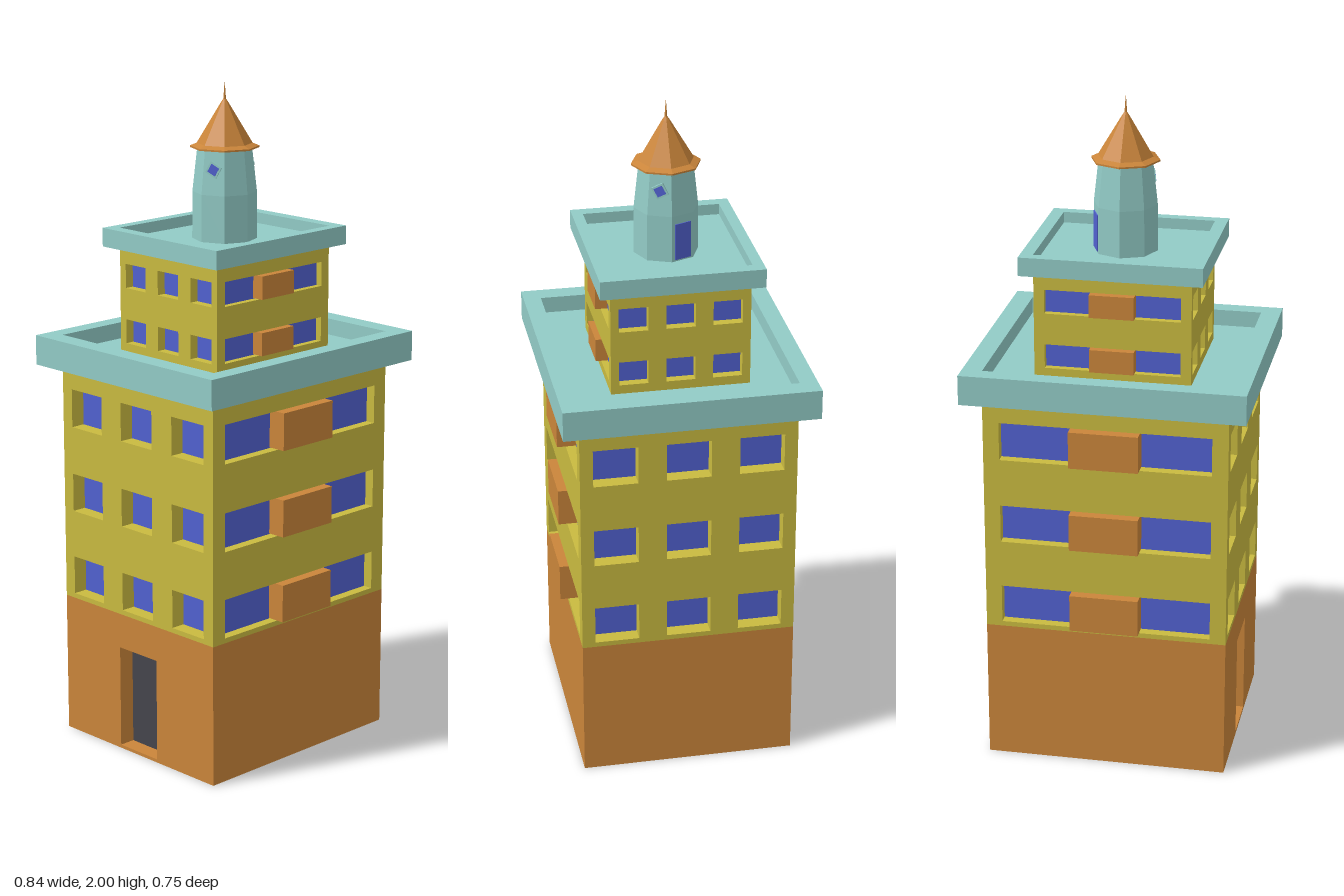
import * as THREE from 'three';

const paint = (name, color) => {
  const m = new THREE.MeshStandardMaterial({ color, side: THREE.DoubleSide });
  m.name = name;
  return m;
};
const teal = paint('pale teal', 0x92cbc6);
const yellow = paint('mustard wall', 0xc9ba40);
const orange = paint('terracotta', 0xca853a);
const blue = paint('window blue', 0x5161d0);
const dark = paint('door grey', 0x45454c);

function add(parent, name, geometry, material, x = 0, y = 0, z = 0) {
  const mesh = new THREE.Mesh(geometry, material);
  mesh.name = name;
  mesh.position.set(x, y, z);
  parent.add(mesh);
  return mesh;
}

// Rectangle in a wall plane, used for outlines and holes
function rect(PathType, x0, x1, y0, y1) {
  return new PathType([[x0, y0], [x1, y0], [x1, y1], [x0, y1]].map(p => new THREE.Vector2(...p)));
}

// Box without its front face: four reveals and a pane at the back
function recess(w, h, d) {
  const g = new THREE.BoxGeometry(w, h, d);
  const index = Array.from(g.index.array);
  g.setIndex([...index.slice(0, 24), ...index.slice(30)]);
  g.clearGroups();
  g.addGroup(0, 24, 0);
  g.addGroup(24, 6, 1);
  return g;
}

// One sheet wall with recessed openings { u, w, y0, y1, d }
function wall(parent, name, width, y0, y1, material, openings, pane, paneName) {
  const shape = rect(THREE.Shape, -width / 2, width / 2, y0, y1);
  for (const o of openings) {
    shape.holes.push(rect(THREE.Path, o.u - o.w / 2, o.u + o.w / 2, o.y0, o.y1));
    add(parent, paneName, recess(o.w, o.y1 - o.y0, o.d), [material, pane], o.u, (o.y0 + o.y1) / 2, -o.d / 2);
  }
  add(parent, name, new THREE.ShapeGeometry(shape), material);
}

// Four walls with strip windows and balconies on front and back, three windows per row on the sides
function storeys(parent, s) {
  for (let i = 0; i < 4; i++) {
    const side = i % 2 === 1;
    const g = new THREE.Group();
    g.name = ['frontWall', 'leftWall', 'backWall', 'rightWall'][i];
    g.rotation.y = i * Math.PI / 2;
    const dist = side ? s.x : s.z;
    g.position.set(Math.sin(g.rotation.y) * dist, 0, Math.cos(g.rotation.y) * dist);
    parent.add(g);
    const width = 2 * (side ? s.z : s.x);
    const openings = [];
    for (const [y0, y1] of s.rows) {
      if (side) {
        for (const k of [-1, 0, 1]) openings.push({ u: k * s.step, w: s.windowWidth, y0, y1, d: s.sideDepth });
      } else {
        openings.push({ u: 0, w: s.strip, y0, y1, d: s.stripDepth });
        const depth = s.stripDepth + s.out;
        add(g, 'balcony', new THREE.BoxGeometry(s.balcony, y1 - y0 - 0.004, depth), orange,
          0, (y0 + y1) / 2, s.out - depth / 2);
      }
    }
    wall(g, 'upperWall', width, s.y0, s.y1, yellow, openings, blue, 'window');
    if (s.base) {
      const door = i === 3 ? [{ u: 0, w: 0.16, y0: 0.01, y1: 0.325, d: 0.05 }] : [];
      wall(g, 'baseWall', width, 0, s.y0, orange, door, dark, 'entranceDoor');
    }
  }
}

// Parapet ring with a sunken roof deck
function parapet(parent, x, z, ix, iz, y0, y1, deck) {
  const shape = rect(THREE.Shape, -x, x, -z, z);
  shape.holes.push(rect(THREE.Path, -ix, ix, -iz, iz));
  const ring = new THREE.ExtrudeGeometry(shape, { depth: y1 - y0, bevelEnabled: false });
  ring.rotateX(-Math.PI / 2);
  add(parent, 'parapet', ring, teal, 0, y0, 0);
  add(parent, 'roofDeck', new THREE.PlaneGeometry(2 * ix, 2 * iz).rotateX(-Math.PI / 2), teal, 0, deck, 0);
}

// Eight-sided faceted solid of revolution
function octagon(profile) {
  const g = new THREE.LatheGeometry(profile.map(p => new THREE.Vector2(...p)), 8).toNonIndexed();
  g.computeVertexNormals();
  return g;
}

export function createModel() {
  const model = new THREE.Group();
  model.name = 'towerBuilding';

  const lower = new THREE.Group();
  lower.name = 'lowerBlock';
  storeys(lower, {
    x: 0.363, z: 0.321, y0: 0.432, y1: 1.18, base: true,
    rows: [[0.447, 0.565], [0.71, 0.827], [0.973, 1.09]],
    strip: 0.63, stripDepth: 0.03, balcony: 0.206, out: 0.027,
    step: 0.216, windowWidth: 0.132, sideDepth: 0.045
  });
  parapet(lower, 0.42, 0.375, 0.36, 0.322, 1.16, 1.25, 1.2);

  const upper = new THREE.Group();
  upper.name = 'upperBlock';
  storeys(upper, {
    x: 0.232, z: 0.205, y0: 1.2, y1: 1.53, base: false,
    rows: [[1.227, 1.3], [1.395, 1.468]],
    strip: 0.402, stripDepth: 0.02, balcony: 0.132, out: 0.017,
    step: 0.138, windowWidth: 0.086, sideDepth: 0.028
  });
  parapet(upper, 0.269, 0.24, 0.231, 0.207, 1.517, 1.573, 1.54);

  // Octagonal turret with its door and skewed windows
  const turret = new THREE.Group();
  turret.name = 'turret';
  add(turret, 'turretWall', octagon([[0.096, 1.54], [0.095, 1.68], [0.08, 1.815]]), teal);
  const onFace = (name, angle, y, dist) => {
    const g = new THREE.Group();
    g.name = name;
    g.rotation.y = angle;
    g.position.set(Math.sin(angle) * dist, y, Math.cos(angle) * dist);
    turret.add(g);
    return g;
  };
  const door = onFace('turretDoor', Math.PI * 5 / 8, 1.6, 0.0885);
  add(door, 'turretDoorPanel', new THREE.BoxGeometry(0.054, 0.11, 0.005), blue);
  for (const s of [1, -1]) {
    const win = onFace('turretWindow', s * Math.PI * 3 / 8, 1.755, 0.081);
    win.rotation.z = s * 0.5;
    add(win, 'turretWindowFrame', new THREE.BoxGeometry(0.038, 0.038, 0.008), teal);
    add(win, 'turretWindowPane', new THREE.BoxGeometry(0.027, 0.027, 0.004), blue, 0, 0, 0.0035);
  }

  // Pointed roof with flared eave and spike
  add(turret, 'turretRoof', octagon([
    [0.102, 1.81], [0.102, 1.815], [0.082, 1.823], [0.042, 1.89], [0.012, 1.94], [0.004, 1.952], [0.003, 1.965], [0.0005, 2]
  ]), orange);
  add(turret, 'soffit', octagon([[0.0005, 1.81], [0.102, 1.81]]), teal);

  model.add(lower, upper, turret);
  return model;
}
